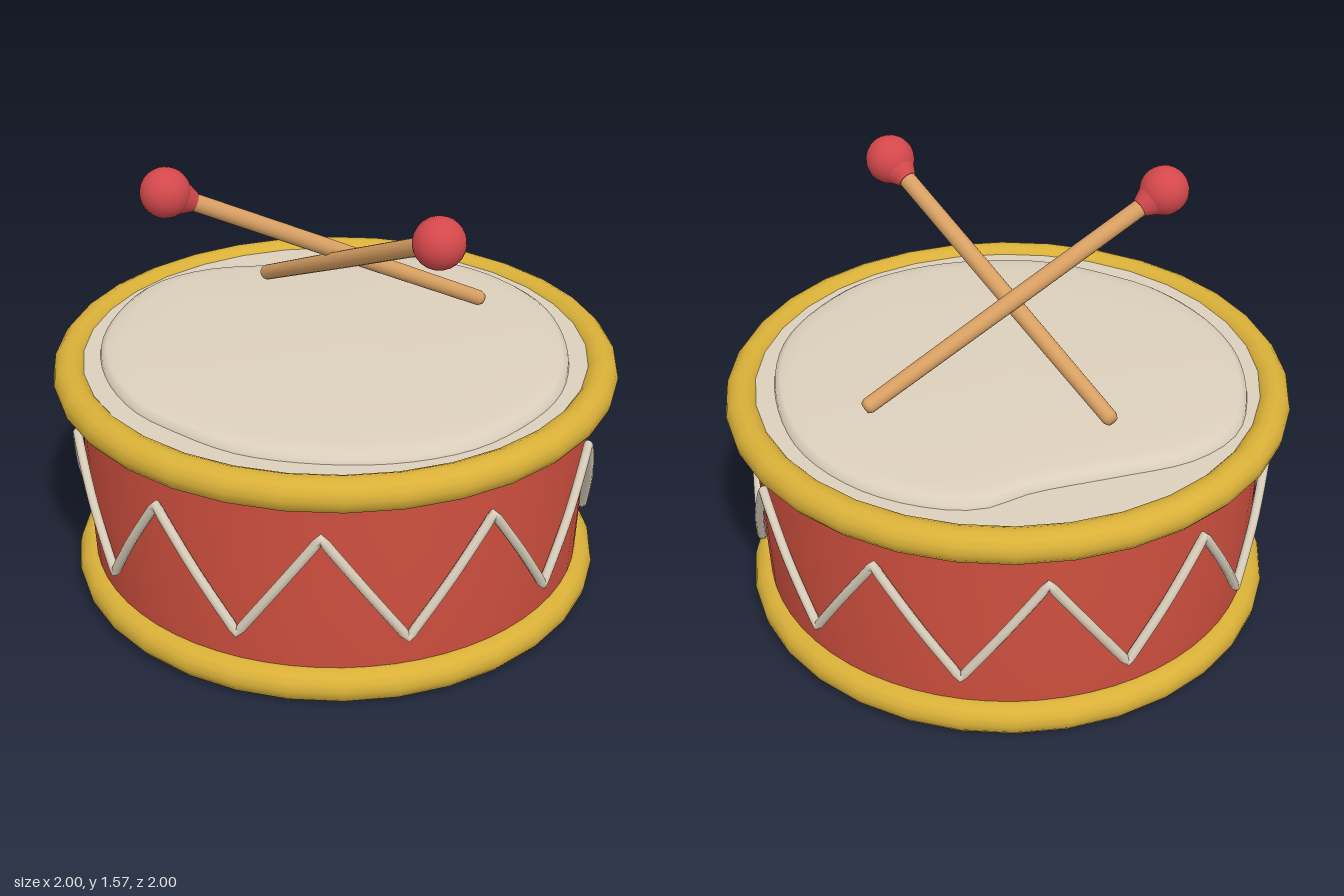
import * as THREE from 'three';

const material = (name, color, side = THREE.FrontSide) => {
  const m = new THREE.MeshStandardMaterial({ color, side });
  m.name = name;
  return m;
};

// Domed skin built from scaled copies of a slightly uneven outline.
function createDome() {
  const outline = new THREE.CatmullRomCurve3([
    [0.84, 0.05], [0.79, 0.3], [0.66, 0.54], [0.4, 0.73], [0, 0.82], [-0.3, 0.75],
    [-0.46, 0.68], [-0.65, 0.51], [-0.79, 0.28], [-0.85, 0], [-0.83, -0.24], [-0.7, -0.42],
    [-0.45, -0.56], [-0.2, -0.69], [-0.06, -0.8], [0.1, -0.825], [0.35, -0.77], [0.6, -0.59], [0.78, -0.27],
  ].map(([x, z]) => new THREE.Vector3(x, 0, z)), true);
  const sides = 72;
  const rim = outline.getSpacedPoints(sides).slice(0, sides);
  const rings = [[0, 0.908], [0.35, 0.907], [0.7, 0.902], [0.9, 0.893], [0.97, 0.884], [0.995, 0.87], [1, 0.845]];
  const positions = [], index = [];
  rings.forEach(([scale, y], i) => rim.forEach((p, j) => {
    positions.push(p.x * scale, y, p.z * scale);
    if (i === 0) return;
    const k = (j + 1) % sides, a = (i - 1) * sides, b = i * sides;
    if (i > 1) index.push(a + j, a + k, b + j);
    index.push(a + k, b + k, b + j);
  }));
  const g = new THREE.BufferGeometry();
  g.setAttribute('position', new THREE.Float32BufferAttribute(positions, 3));
  g.setIndex(index);
  g.computeVertexNormals();
  return g;
}

// Zigzag cord: ten peaks around the shell, with a low point at the front.
function createLacing() {
  const points = [];
  for (let i = 0; i < 20; i++) {
    for (const t of [0, 0.08, 0.5, 0.92]) {
      const up = i % 2 ? 1 - t : t;
      const angle = (i + t) * Math.PI / 10;
      const r = 0.913 + 0.02 * up;
      points.push(new THREE.Vector3(Math.sin(angle) * r, 0.235 + 0.415 * up, Math.cos(angle) * r));
    }
  }
  return new THREE.TubeGeometry(new THREE.CatmullRomCurve3(points, true), 400, 0.017, 8, true);
}

export function createModel() {
  const model = new THREE.Group();
  model.name = 'toyDrum';
  const red = material('drumRed', 0xd0503f);
  const gold = material('rimGold', 0xd9b038);
  const cream = material('skinCream', 0xdcd0bc);
  const wood = material('stickWood', 0xd79f62);
  const pink = material('beaterRed', 0xd4484c);

  const add = (name, geometry, mat, parent = model) => {
    const mesh = new THREE.Mesh(geometry, mat);
    mesh.name = name;
    parent.add(mesh);
    return mesh;
  };

  // Shell flaring gently upward, with a closed base
  const wall = [[0.875, 0.025], [0.89, 0.12], [0.902, 0.4], [0.914, 0.74], [0.914, 0.8], [0.895, 0.85]];
  add('shell', new THREE.LatheGeometry(wall.map(([r, y]) => new THREE.Vector2(r, y)), 64), red);
  const base = add('base', new THREE.CircleGeometry(0.88, 64), red);
  base.rotation.x = Math.PI / 2;
  base.position.y = 0.025;

  // Rounded hoops
  for (const [name, radius, y] of [['topHoop', 0.94, 0.82], ['bottomHoop', 0.895, 0.06]]) {
    const hoop = add(name, new THREE.TorusGeometry(radius, 0.06, 14, 32), gold);
    hoop.rotation.x = Math.PI / 2;
    hoop.position.y = y;
  }

  // Drumhead: a flat under-skin and the domed skin on it
  const under = add('underSkin', new THREE.CircleGeometry(0.91, 64), cream);
  under.rotation.x = -Math.PI / 2;
  under.position.y = 0.856;
  add('drumhead', createDome(), cream);
  add('lacing', createLacing(), cream);

  // Crossed sticks, each built along +y from its tail to its beater
  const up = new THREE.Vector3(0, 1, 0);
  const addStick = (name, tail, head) => {
    const stick = new THREE.Group();
    stick.name = name;
    const dir = head.clone().sub(tail);
    const length = dir.length();
    stick.position.copy(tail);
    stick.quaternion.setFromUnitVectors(up, dir.normalize());
    const shaft = [[0, -0.012], [0.02, -0.01], [0.028, 0.006], [0.031, length * 0.5], [0.031, length]];
    add('shaft', new THREE.LatheGeometry(shaft.map(([r, y]) => new THREE.Vector2(r, y)), 16), wood, stick);
    add('beater', new THREE.SphereGeometry(0.087, 24, 16), pink, stick).position.y = length;
    add('collar', new THREE.CylinderGeometry(0.06, 0.034, 0.05, 16), pink, stick).position.y = length - 0.083;
    model.add(stick);
  };
  addStick('rightStick', new THREE.Vector3(0.41, 0.94, -0.41), new THREE.Vector3(-0.5, 1.485, 0.29));
  addStick('leftStick', new THREE.Vector3(-0.41, 0.94, -0.345), new THREE.Vector3(0.49, 1.485, 0.37));

  return model;
}
